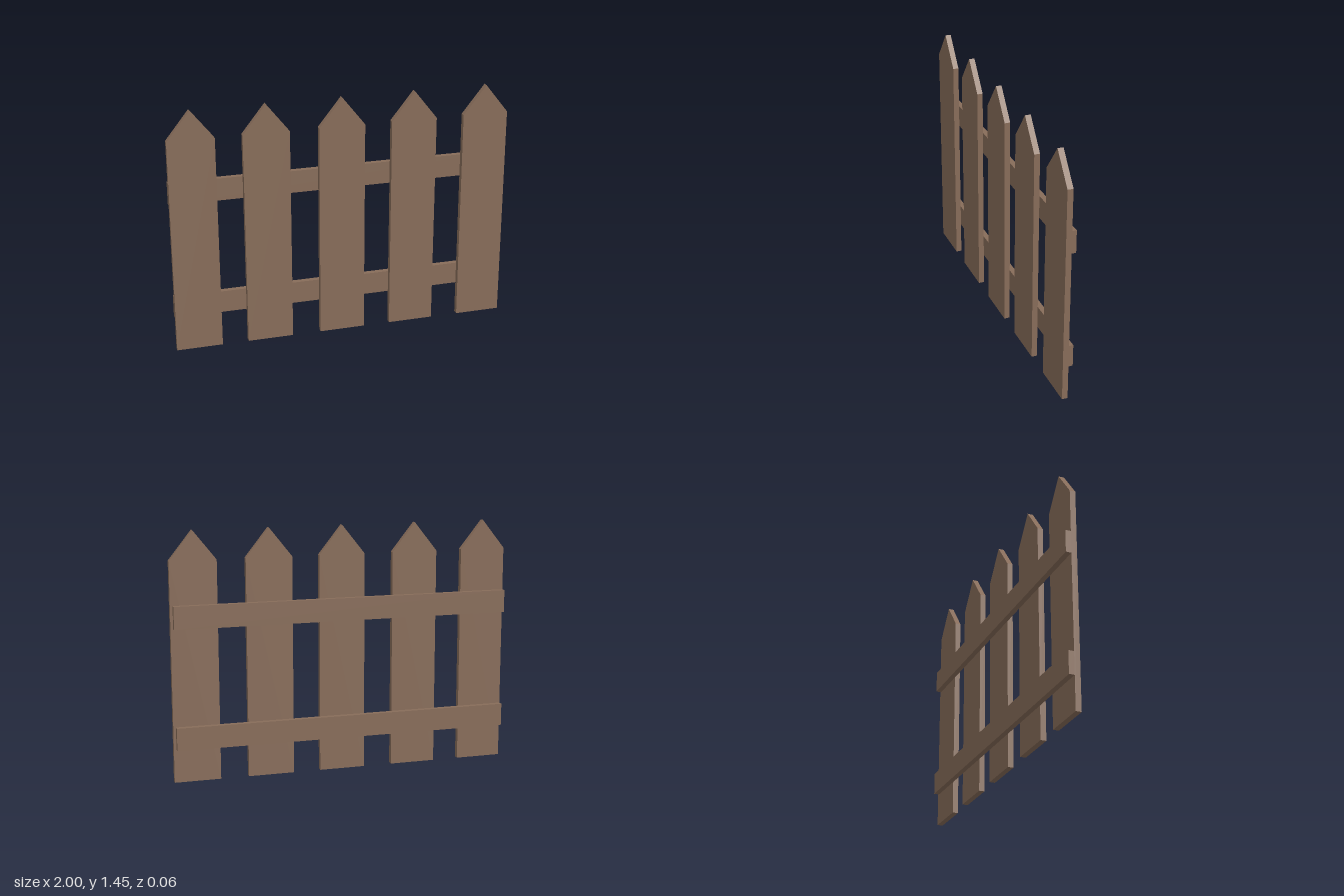
import * as THREE from 'three';

export function createModel() {
  const fence = new THREE.Group();
  fence.name = 'picketFence';
  const wood = new THREE.MeshStandardMaterial({ color: 0x876c59 });
  wood.name = 'brown wood';

  // Pointed picket, extruded forward from the rail plane
  const w = 0.135, shoulder = 1.28, tip = 1.45, depth = 0.033;
  const outline = new THREE.Shape([
    new THREE.Vector2(-w, 0),
    new THREE.Vector2(w, 0),
    new THREE.Vector2(w, shoulder),
    new THREE.Vector2(0, tip),
    new THREE.Vector2(-w, shoulder),
  ]);
  const picketGeometry = new THREE.ExtrudeGeometry(outline, { depth, bevelEnabled: false });
  [-0.865, -0.44, 0, 0.43, 0.865].forEach((x, i) => {
    const picket = new THREE.Mesh(picketGeometry, wood);
    picket.name = `picket${i + 1}`;
    picket.position.x = x;
    fence.add(picket);
  });

  // Two horizontal rails behind the pickets, ending just short on the left
  const railGeometry = new THREE.BoxGeometry(1.985, 0.132, 0.032);
  [['lowerRail', 0.262], ['upperRail', 0.963]].forEach(([name, y]) => {
    const rail = new THREE.Mesh(railGeometry, wood);
    rail.name = name;
    rail.position.set(-0.0075, y, -0.016);
    fence.add(rail);
  });

  return fence;
}
